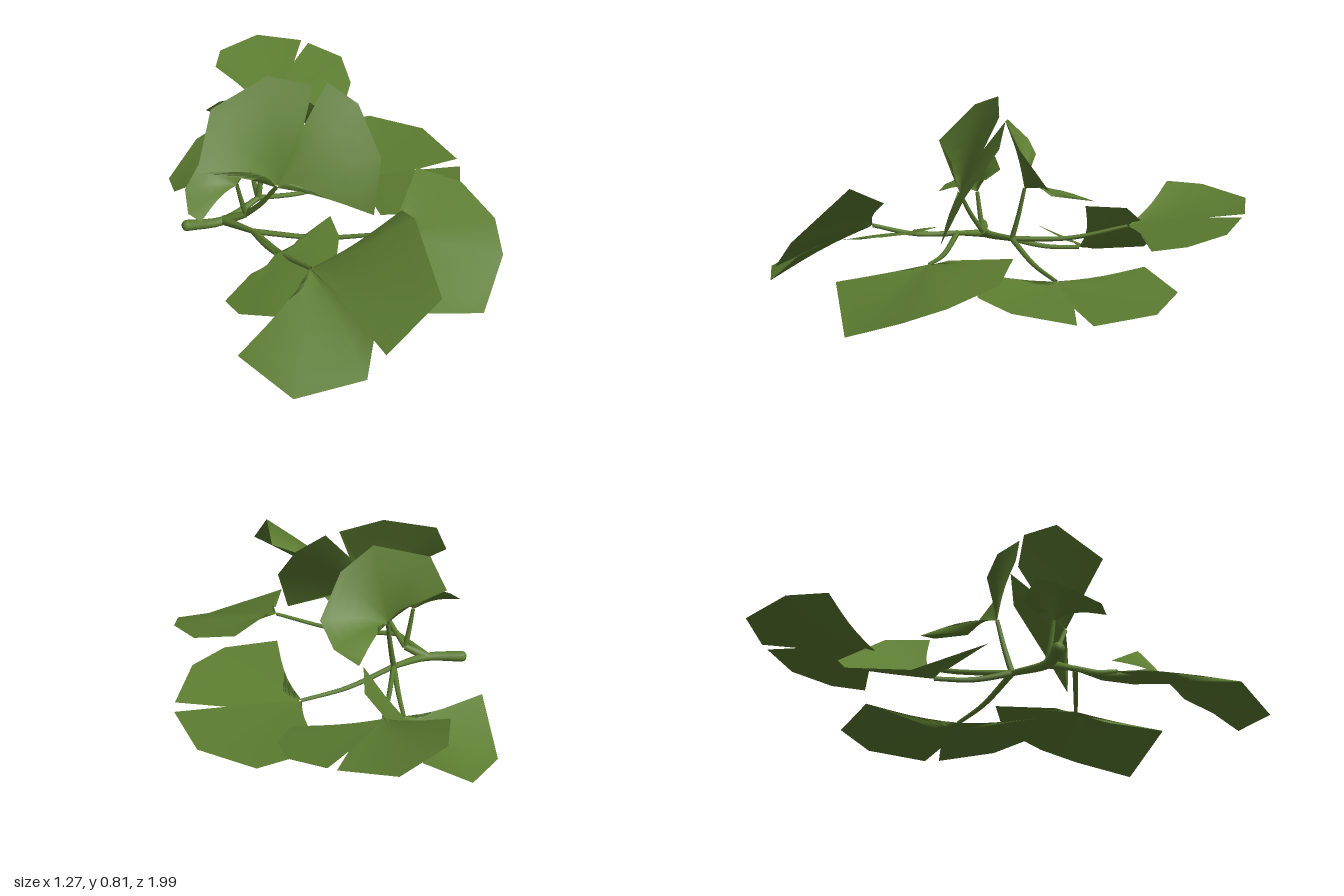
import * as THREE from 'three';

const V = (p) => new THREE.Vector3(...p);

// Tapering tube along a curve
function taperedStem(points, r0, r1, sides) {
  const steps = 12;
  const curve = new THREE.CatmullRomCurve3(points);
  const geo = new THREE.TubeGeometry(curve, steps, 1, sides);
  const pos = geo.attributes.position;
  const v = new THREE.Vector3();
  for (let k = 0; k < pos.count; k++) {
    const t = Math.floor(k / (sides + 1)) / steps;
    const c = curve.getPointAt(t);
    v.fromBufferAttribute(pos, k).sub(c).multiplyScalar(r0 + (r1 - r0) * t).add(c);
    pos.setXYZ(k, v.x, v.y, v.z);
  }
  return geo;
}

// Fan-shaped blade: rings swept from base to rim, cupped along the petiole direction
function bladeGeometry(base, rim, dir) {
  const rings = 6, n = rim.length, pos = [], idx = [];
  for (let i = 0; i <= rings; i++) {
    const t = 0.02 + 0.98 * i / rings;
    const cup = 0.028 * Math.sin(Math.PI * t) * (1 - t / 2);
    for (const p of rim) pos.push(...base.clone().lerp(p, t).addScaledVector(dir, cup));
  }
  for (let i = 0; i < rings; i++) {
    for (let j = 0; j < n - 1; j++) {
      const a = i * n + j, c = a + n;
      idx.push(a, c, a + 1, a + 1, c, c + 1);
    }
  }
  const geo = new THREE.BufferGeometry();
  geo.setAttribute('position', new THREE.Float32BufferAttribute(pos, 3));
  geo.setIndex(idx);
  geo.computeVertexNormals();
  return geo;
}

export function createModel() {
  const model = new THREE.Group();
  model.name = 'leafyTwig';
  const green = new THREE.MeshStandardMaterial({ color: 0x5d7d31, side: THREE.DoubleSide });
  green.name = 'leaf green';

  const add = (geo, name, parent = model) => {
    const mesh = new THREE.Mesh(geo, green);
    mesh.name = name;
    parent.add(mesh);
    return mesh;
  };

  // One leaf: slightly sagging petiole from a fork to the blade base, then the blade with its rim corners
  const addLeaf = (name, fork, basePoint, corners) => {
    const leaf = new THREE.Group();
    leaf.name = name;
    model.add(leaf);
    const base = V(basePoint);
    const mid = fork.clone().lerp(base, 0.5);
    mid.y -= 0.05 * fork.distanceTo(base);
    const dir = base.clone().sub(mid).normalize();
    add(taperedStem([fork, mid, base], 0.012, 0.008, 6), 'petiole', leaf);
    add(bladeGeometry(base, corners.map(V), dir), 'blade', leaf);
  };

  // Main twig with a rounded end, and two side shoots
  const tip = V([-0.565, 0.155, 0.085]);
  const joint = V([-0.42, 0.16, 0.08]);
  const backFork = V([-0.27, 0.18, -0.02]);
  const frontFork = V([-0.31, 0.2, 0.21]);
  const upperFork = V([-0.33, 0.2, 0.1]);
  add(taperedStem([tip, joint, backFork], 0.023, 0.011, 10), 'twig');
  add(new THREE.SphereGeometry(0.023, 10, 8), 'twigEnd').position.copy(tip);
  add(taperedStem([joint, frontFork], 0.018, 0.01, 8), 'frontShoot');
  add(taperedStem([joint, upperFork], 0.02, 0.014, 8), 'upperShoot');

  // Leaves from the back fork
  addLeaf('backLeaf', backFork, [-0.18, 0.25, -0.5],
    [[-0.39, 0.385, -0.71], [-0.36, 0.375, -0.86], [-0.18, 0.36, -1], [0.02, 0.35, -0.94], [-0.03, 0.325, -0.8],
      [0.05, 0.345, -0.92], [0.19, 0.32, -0.82], [0.21, 0.28, -0.66], [0.16, 0.25, -0.53], [-0.03, 0.25, -0.53]]);
  addLeaf('lowBackLeaf', backFork, [-0.28, 0.13, -0.31],
    [[-0.4, 0.12, -0.275], [-0.61, 0.13, -0.17], [-0.635, 0, -0.43], [-0.5, 0.05, -0.64], [-0.31, 0.16, -0.66],
      [-0.11, 0.35, -0.48], [-0.12, 0.36, -0.31]]);
  addLeaf('backSideLeaf', backFork, [0.11, 0.12, -0.16],
    [[0.16, 0.11, -0.25], [0.04, 0.145, -0.53], [0.29, 0.125, -0.61], [0.51, 0.125, -0.48], [0.61, 0.13, -0.23], [0.41, 0.12, -0.19],
      [0.61, 0.135, -0.17], [0.55, 0.165, 0.06], [0.42, 0.18, 0.17], [0.2, 0.2, 0.18], [0.19, 0.13, -0.1]]);
  addLeaf('overhangingLeaf', backFork, [-0.235, 0.41, -0.07],
    [[-0.345, 0.53, -0.13], [-0.455, 0.57, -0.11], [-0.4, 0.67, -0.015], [-0.18, 0.71, 0.015], [-0.05, 0.62, -0.03],
      [0.035, 0.47, -0.14], [-0.01, 0.42, -0.28], [-0.1, 0.385, -0.345], [-0.14, 0.4, -0.17]]);

  // Leaves from the front fork
  addLeaf('frontSideLeaf', frontFork, [0.2, 0.24, 0.34],
    [[0.25, 0.27, 0.27], [0.37, 0.31, 0.035], [0.54, 0.27, 0.1], [0.635, 0.225, 0.29], [0.63, 0.175, 0.45],
      [0.51, 0.08, 0.655], [0.17, 0.17, 0.7], [0.2, 0.2, 0.48]]);
  addLeaf('frontLeaf', frontFork, [-0.13, 0.3, 0.56],
    [[0.21, 0.49, 0.505], [0.23, 0.555, 0.63], [0.29, 0.37, 0.85], [0.085, 0.21, 0.935], [0.06, 0.24, 0.85],
      [0.015, 0.13, 0.965], [-0.245, 0.1, 0.99], [-0.42, 0.15, 0.81], [-0.235, 0.22, 0.69]]);
  addLeaf('smallFrontLeaf', frontFork, [-0.24, 0.235, 0.39],
    [[-0.15, 0.27, 0.36], [-0.02, 0.32, 0.3], [0, 0.3, 0.4], [-0.03, 0.28, 0.52], [-0.26, 0.2, 0.69],
      [-0.4, 0.155, 0.61], [-0.445, 0.15, 0.53], [-0.34, 0.2, 0.45]]);

  // Leaves from the upper fork
  addLeaf('tallLeaf', upperFork, [-0.215, 0.4, 0.2],
    [[-0.31, 0.51, 0.23], [-0.51, 0.56, 0.275], [-0.44, 0.73, 0.12], [-0.22, 0.805, 0.04], [-0.05, 0.755, 0.05], [-0.095, 0.615, 0.11],
      [0.005, 0.75, 0.03], [0.12, 0.665, 0.065], [0.19, 0.5, 0.2], [0.15, 0.3, 0.295], [-0.05, 0.385, 0.23], [-0.13, 0.41, 0.21]]);
  addLeaf('smallUpperLeaf', upperFork, [-0.36, 0.365, 0.12],
    [[-0.24, 0.45, 0.09], [-0.25, 0.49, 0.03], [-0.4, 0.51, 0.04], [-0.505, 0.45, 0.09], [-0.56, 0.39, 0.15],
      [-0.555, 0.35, 0.25], [-0.51, 0.33, 0.28]]);

  return model;
}
